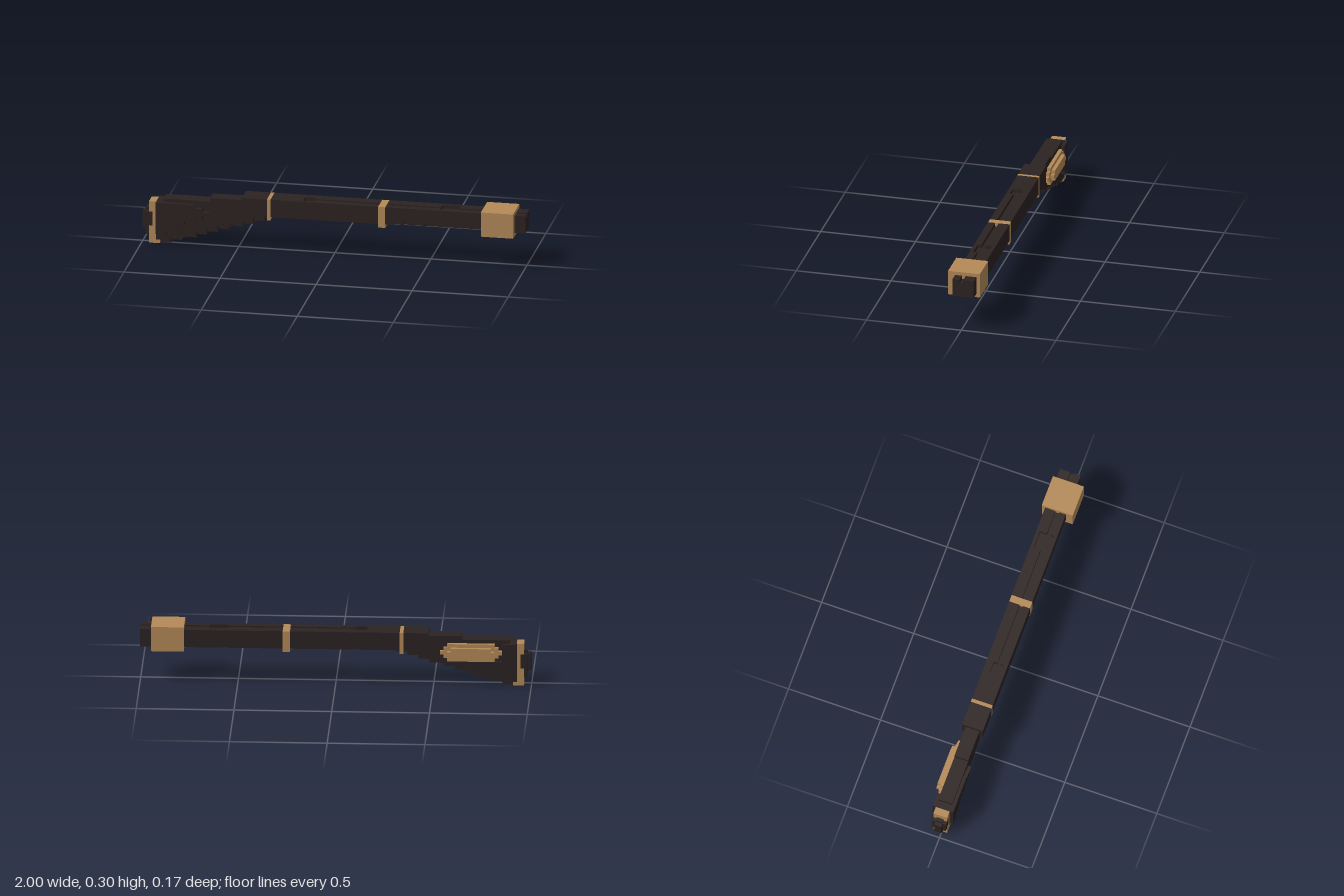
import * as THREE from 'three';

// Everything sits on a grid 107 cells long, 16 high and 9 deep.
const V = 2 / 107;

export function createModel() {
  const wood = new THREE.MeshStandardMaterial({ color: 0x2c2322 });
  wood.name = 'darkWood';
  const brass = new THREE.MeshStandardMaterial({ color: 0xb48a58 });
  brass.name = 'brass';

  const model = new THREE.Group();
  model.name = 'longGun';
  const part = (name) => {
    const g = new THREE.Group();
    g.name = name;
    model.add(g);
    return g;
  };
  // Box from grid cells: x range, y range, z range
  const block = (parent, mat, x0, x1, y0, y1, z0, z1) => {
    if (x1 <= x0) return;
    const m = new THREE.Mesh(
      new THREE.BoxGeometry((x1 - x0) * V, (y1 - y0) * V, (z1 - z0) * V), mat);
    m.position.set(((x0 + x1) / 2 - 53.5) * V, ((y0 + y1) / 2) * V, ((z0 + z1) / 2 - 4.5) * V);
    m.name = parent.name + 'Block';
    parent.add(m);
  };

  // Barrel: solid lower part with a sight groove and pockets along the top
  const barrel = part('barrel');
  block(barrel, wood, 28, 35, 10, 14, 1, 7);
  block(barrel, wood, 36, 66, 10, 14, 1, 7);
  block(barrel, wood, 68, 107, 10, 14, 1, 6);
  block(barrel, wood, 28, 35, 14, 15, 1, 7);
  block(barrel, wood, 36, 45, 14, 15, 1, 7);
  const grooves = [[45, 48, 3, 6], [48, 66, 4, 5], [68, 83, 4, 5], [83, 88, 2, 6], [88, 107, 4, 5]];
  for (const [x0, x1, z0, z1] of grooves) {
    block(barrel, wood, x0, x1, 14, 15, 1, z0);
    block(barrel, wood, x0, x1, 14, 15, z1, 7);
  }
  // Front side of the barrel, with the stepped end of the fore-end
  block(barrel, wood, 68, 107, 11, 14, 6, 7);
  block(barrel, wood, 68, 70, 10, 11, 6, 7);
  for (const x of [72, 75, 78]) block(barrel, wood, x, x + 1, 10, 11, 6, 7);
  block(barrel, wood, 95, 107, 10, 11, 6, 7);

  // Brass bands and muzzle collar
  block(part('rearBand'), brass, 35, 36, 9, 15, 1, 7);
  block(part('frontBand'), brass, 66, 68, 9, 15, 1, 7);
  block(part('muzzleCollar'), brass, 95, 104, 9, 16, 0, 9);

  // Stock: stepped rows that rise towards the barrel
  const stock = part('stock');
  for (let y = 0; y < 14; y++) {
    const start = y === 0 ? 5 : y < 12 ? 4 : y === 12 ? 6 : 19;
    const end = y > 9 ? 28 : Math.min(37, Math.round(8 + 3.25 * y));
    const full = y > 9 ? 28 : y === 9 ? 34 : end - 3;
    if (y > 0) block(stock, wood, start, full, y, y + 1, 2, 6);
    block(stock, wood, start, end, y, y + 1, 3, 5);
  }
  // Swell on both cheeks of the stock
  for (let y = 3; y < 12; y++) {
    const end = Math.max(7, Math.round(19 - 2.2 * Math.abs(y - 9)));
    block(stock, wood, 4, end, y, y + 1, 6, 7);
    block(stock, wood, 4, y >= 7 ? 8 : end, y, y + 1, 1, 2);
  }

  // Brass cheek plate on the back, two tapered layers
  const plate = part('cheekPlate');
  [[8, 25, 7, 12, 1, 2], [10, 23, 8, 11, 0, 1]].forEach(([x0, x1, y0, y1, z0, z1]) => {
    const mid = (y0 + y1 - 1) / 2;
    for (let y = y0; y < y1; y++) {
      const inset = Math.abs(y - mid);
      block(plate, brass, x0 + inset, x1 - inset, y, y + 1, z0, z1);
    }
  });

  // Brass butt plate with a dark pad
  const butt = part('buttPlate');
  block(butt, brass, 2, 4, 0, 5, 2, 6);
  block(butt, brass, 3, 4, 5, 9, 2, 6);
  block(butt, brass, 2, 4, 9, 12, 2, 6);
  block(butt, brass, 4, 5, 0, 1, 2, 6);
  const pad = part('buttPad');
  block(pad, wood, 2, 3, 5, 9, 2, 6);
  block(pad, wood, 1, 2, 2, 10, 3, 5);
  block(pad, wood, 1, 2, 4, 9, 2, 6);
  block(pad, wood, 0, 1, 4, 9, 3, 5);

  return model;
}
